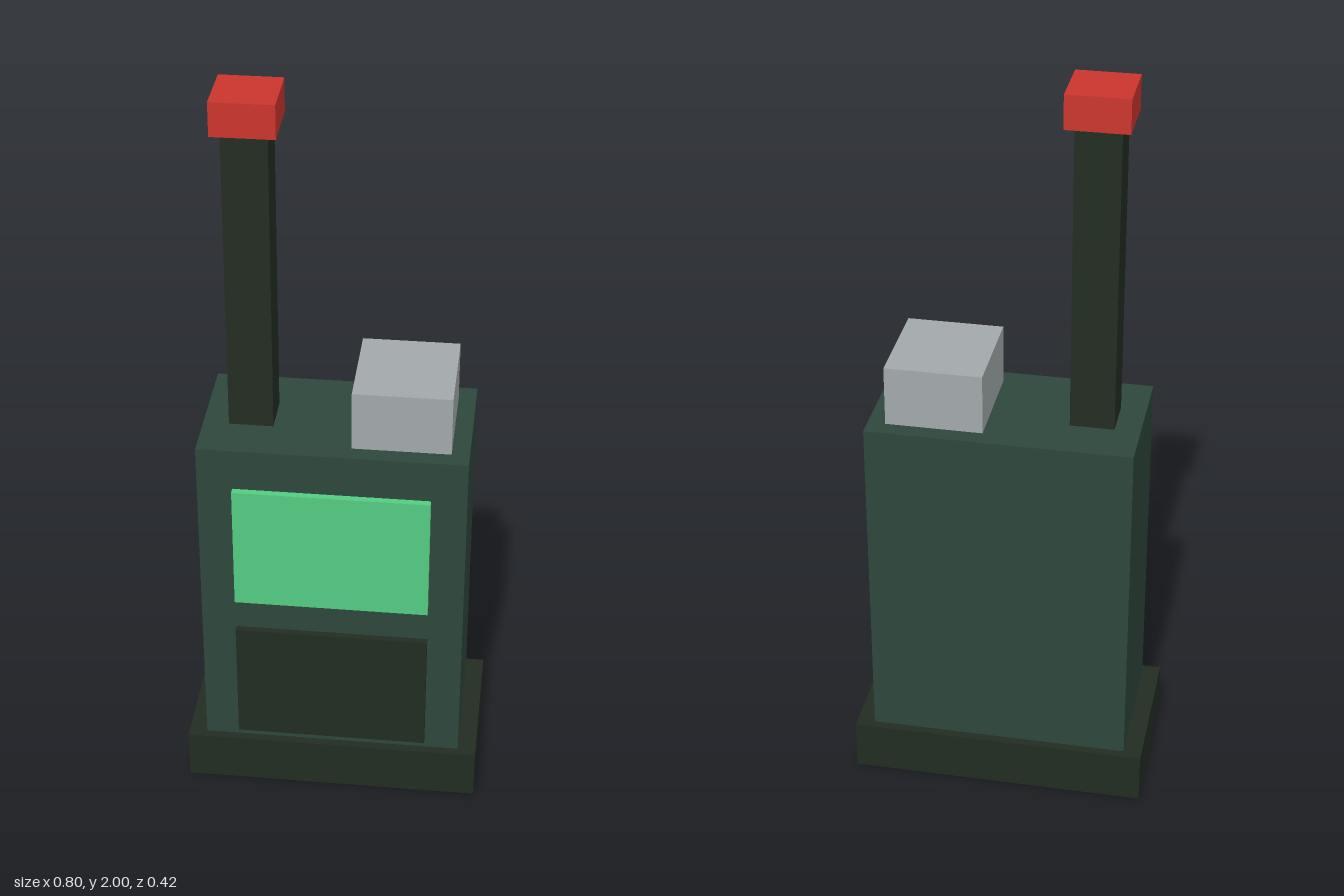
import * as THREE from 'three';

const material = (name, color) => {
  const m = new THREE.MeshStandardMaterial({ color });
  m.name = name;
  return m;
};

export function createModel() {
  const darkOlive = material('dark olive', 0x222c22);
  const deepGreen = material('deep green', 0x2d473c);
  const screenGreen = material('screen green', 0x53cc82);
  const red = material('signal red', 0xcb342d);
  const grey = material('light grey', 0xa2a9ab);

  const group = new THREE.Group();
  group.name = 'handheldRadio';

  // Box spanning the given ranges on each axis
  const box = (name, mat, [x0, x1], [y0, y1], [z0, z1]) => {
    const mesh = new THREE.Mesh(new THREE.BoxGeometry(x1 - x0, y1 - y0, z1 - z0), mat);
    mesh.position.set((x0 + x1) / 2, (y0 + y1) / 2, (z0 + z1) / 2);
    mesh.name = name;
    group.add(mesh);
  };

  // Case and foot
  box('base', darkOlive, [-0.4, 0.4], [0, 0.14], [-0.211, 0.211]);
  box('body', deepGreen, [-0.351, 0.351], [0.14, 1.083], [-0.187, 0.187]);

  // Front panels
  box('screen', screenGreen, [-0.258, 0.258], [0.613, 0.967], [0.187, 0.206]);
  box('lowerPanel', darkOlive, [-0.258, 0.258], [0.168, 0.518], [0.187, 0.206]);

  // Aerial with its cap, and the control knob
  box('antenna', darkOlive, [-0.283, -0.166], [1.083, 1.91], [-0.058, 0.058]);
  box('antennaCap', red, [-0.306, -0.143], [1.91, 2], [-0.082, 0.082]);
  box('knob', grey, [0.047, 0.304], [1.083, 1.247], [-0.14, 0.14]);

  return group;
}
